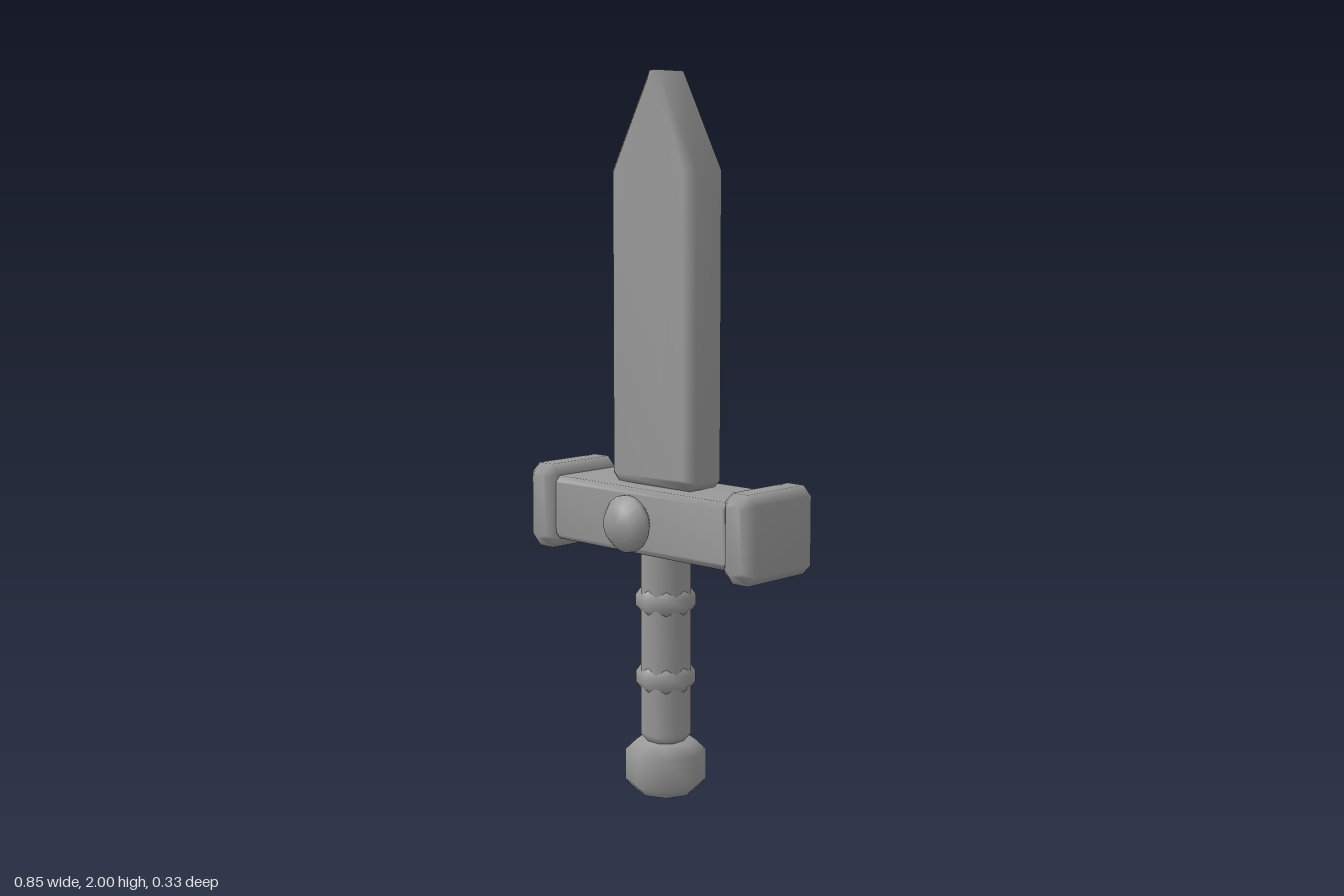
import * as THREE from 'three';
import { mergeVertices } from 'three/addons/utils/BufferGeometryUtils.js';

const AXIS_Z = -0.027; // the blade and grip sit slightly behind the middle

// Weld shared corners so the chamfers shade smoothly
function smooth(geometry) {
  geometry.deleteAttribute('uv');
  geometry.deleteAttribute('normal');
  const welded = mergeVertices(geometry, 1e-4);
  welded.computeVertexNormals();
  return welded;
}

// Outline thickened along z, centred, with chamfered rims
function slab(points, depth, bevel) {
  const shape = new THREE.Shape(points.map(([x, y]) => new THREE.Vector2(x, y)));
  const geometry = new THREE.ExtrudeGeometry(shape, {
    depth: depth - 2 * bevel, bevelEnabled: true, bevelSegments: 1,
    bevelSize: bevel, bevelThickness: bevel, bevelOffset: -bevel,
  });
  geometry.translate(0, 0, bevel - depth / 2);
  return smooth(geometry);
}

function chamferBox(width, height, depth, c) {
  const w = width / 2, h = height / 2;
  return slab([
    [-w + c, -h], [w - c, -h], [w, -h + c], [w, h - c],
    [w - c, h], [-w + c, h], [-w, h - c], [-w, -h + c],
  ], depth, c);
}

function turned(profile, sides, phase = 0) {
  const points = profile.map(([r, y]) => new THREE.Vector2(r, y));
  return smooth(new THREE.LatheGeometry(points, sides, phase));
}

export function createModel() {
  const group = new THREE.Group();
  const grey = new THREE.MeshStandardMaterial({ color: 0x999999 });
  grey.name = 'grey';
  const add = (name, geometry, x, y, z) => {
    const mesh = new THREE.Mesh(geometry, grey);
    mesh.name = name;
    mesh.position.set(x, y, z);
    group.add(mesh);
    return mesh;
  };

  // Blade with a blunt point
  add('blade', slab([
    [-0.135, 0.875], [0.135, 0.875], [0.156, 0.898], [0.156, 1.735],
    [0.016, 2], [-0.016, 2], [-0.156, 1.735], [-0.156, 0.898],
  ], 0.148, 0.025), 0, 0, AXIS_Z - 0.002);

  // Crossguard and its end caps
  add('crossguard', chamferBox(0.67, 0.182, 0.24, 0.014), 0, 0.785, -0.03);
  for (const side of [-1, 1]) {
    add(side > 0 ? 'leftGuardCap' : 'rightGuardCap',
      chamferBox(0.108, 0.242, 0.276, 0.027), side * 0.372, 0.785, -0.03);
  }

  // Round stud on the front of the guard
  add('stud', turned([
    [0, -0.045], [0.052, -0.04], [0.079, -0.01], [0.079, 0.006], [0.052, 0.037], [0, 0.037],
  ], 16), 0, 0.785, 0.128).rotation.x = Math.PI / 2;

  // Grip, binding rings and pommel
  add('grip', turned([
    [0, 0.14], [0.052, 0.145], [0.0755, 0.172], [0.0755, 0.69], [0.06, 0.71], [0, 0.71],
  ], 8, Math.PI / 8), 0, 0, AXIS_Z);
  for (const [name, y] of [['lowerRing', 0.33], ['upperRing', 0.55]]) {
    add(name, turned([
      [0.06, -0.038], [0.07, -0.034], [0.084, -0.016], [0.084, 0.016], [0.07, 0.034], [0.06, 0.038],
    ], 8), 0, y, AXIS_Z);
  }
  add('pommel', turned([
    [0, 0], [0.082, 0], [0.114, 0.032], [0.114, 0.118], [0.082, 0.148], [0, 0.148],
  ], 8), 0, 0, AXIS_Z);

  return group;
}
